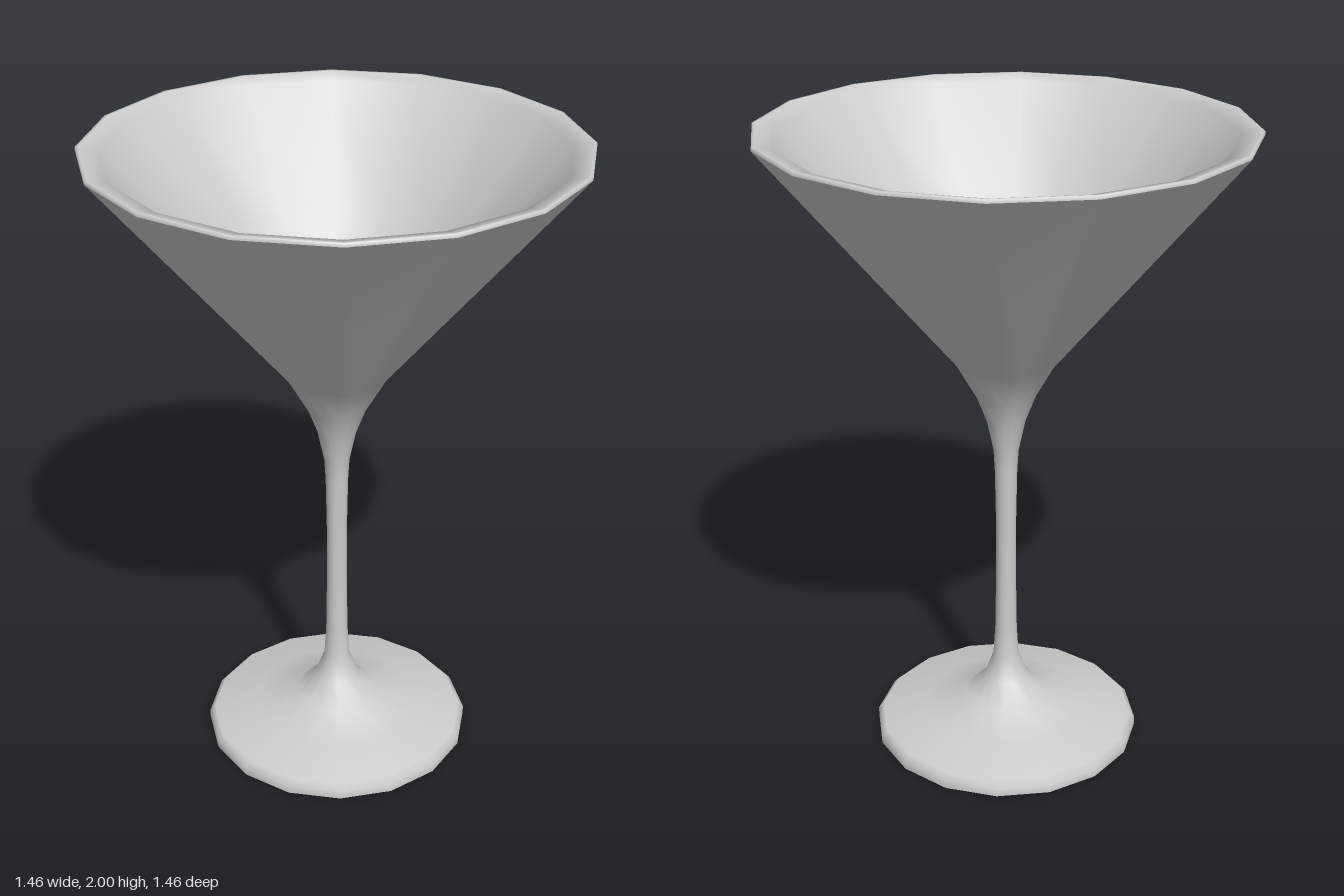
import * as THREE from 'three';

const SIDES = 16;

// Each profile is a smooth strip; creases fall where one strip meets the next.
function turned(name, profile, material) {
  const points = profile.map(([r, y]) => new THREE.Vector2(r, y));
  const mesh = new THREE.Mesh(new THREE.LatheGeometry(points, SIDES), material);
  mesh.name = name;
  return mesh;
}

export function createModel() {
  const glass = new THREE.MeshStandardMaterial({ color: 0xcccccc });
  const group = new THREE.Group();
  group.name = 'cocktailGlass';

  const parts = {
    footUnderside: [[0, 0], [0.426, 0]],
    // rounded foot, slender stem and flared bowl in one sweep
    footStemAndBowl: [
      [0.426, 0], [0.426, 0.027], [0.408, 0.046], [0.265, 0.078],
      [0.132, 0.122], [0.07, 0.183], [0.041, 0.262], [0.035, 0.36],
      [0.032, 0.55], [0.032, 0.75], [0.035, 0.92], [0.039, 0.99],
      [0.06, 1.09], [0.092, 1.175], [0.157, 1.29], [0.731, 1.99],
    ],
    // thin outer rim
    rim: [[0.731, 1.99], [0.73, 2], [0.722, 2]],
    // gently sloping lip, then the inside wall and rounded bottom
    bowlInside: [
      [0.722, 2], [0.668, 1.985], [0.4, 1.655], [0.145, 1.34],
      [0.1, 1.305], [0.05, 1.285], [0, 1.28],
    ],
  };
  for (const [name, profile] of Object.entries(parts)) {
    group.add(turned(name, profile, glass));
  }
  return group;
}
